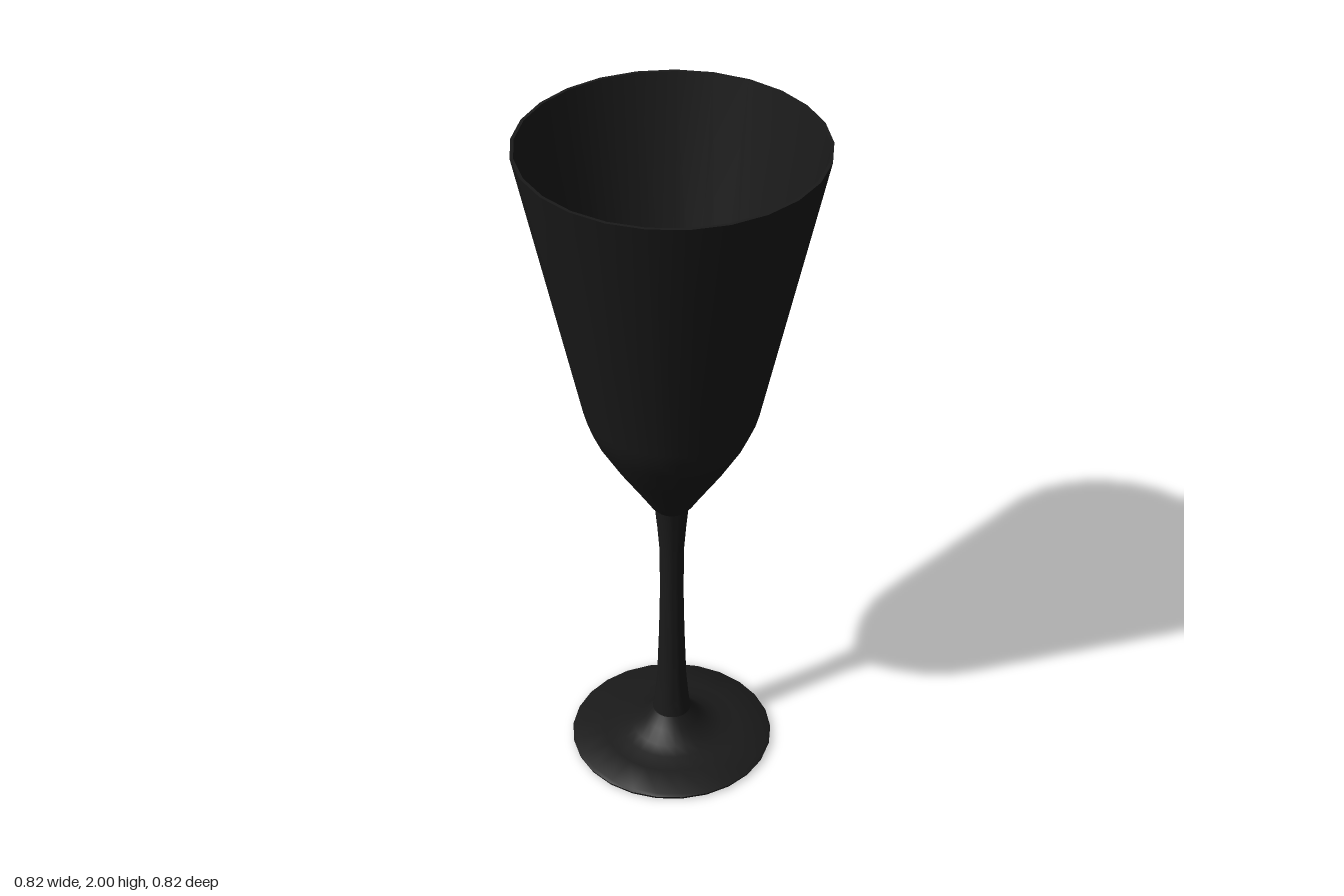
import * as THREE from 'three';
import { toCreasedNormals } from 'three/addons/utils/BufferGeometryUtils.js';

const SIDES = 25;

export function createModel() {
  const group = new THREE.Group();
  group.name = 'wineGlass';
  const material = new THREE.MeshStandardMaterial({ color: 0x1a1a1a });

  // Turns a [radius, height] profile around the y axis; smooth, with sharp rims
  function turned(name, profile) {
    const points = profile.map(([r, y]) => new THREE.Vector2(r, y));
    const lathe = new THREE.LatheGeometry(points, SIDES, -Math.PI / 2);
    const mesh = new THREE.Mesh(toCreasedNormals(lathe, 0.8), material);
    mesh.name = name;
    group.add(mesh);
  }

  // Foot: shallow hollow underneath, thin edge, flaring up to the stem
  turned('foot', [
    [0.004, 0.03], [0.06, 0.022], [0.15, 0.012], [0.285, 0.001], [0.293, 0.004],
    [0.296, 0.012], [0.288, 0.018], [0.2, 0.027], [0.15, 0.035], [0.115, 0.046],
    [0.08, 0.075], [0.056, 0.108],
  ]);

  // Stem: slimmest around the middle
  turned('stem', [
    [0.056, 0.108], [0.05, 0.15], [0.043, 0.23], [0.037, 0.4], [0.034, 0.55],
    [0.035, 0.7], [0.041, 0.78], [0.048, 0.852],
  ]);

  // Bowl: outer wall up to the lip, then the inner wall down to the middle
  turned('bowl', [
    [0.048, 0.852], [0.062, 0.868], [0.085, 0.905], [0.15, 1.005], [0.208, 1.105],
    [0.232, 1.16], [0.243, 1.2], [0.413, 2],
    [0.404, 2], [0.234, 1.2], [0.223, 1.165], [0.198, 1.11], [0.14, 1.015],
    [0.078, 0.92], [0.04, 0.882], [0.004, 0.87],
  ]);

  return group;
}
